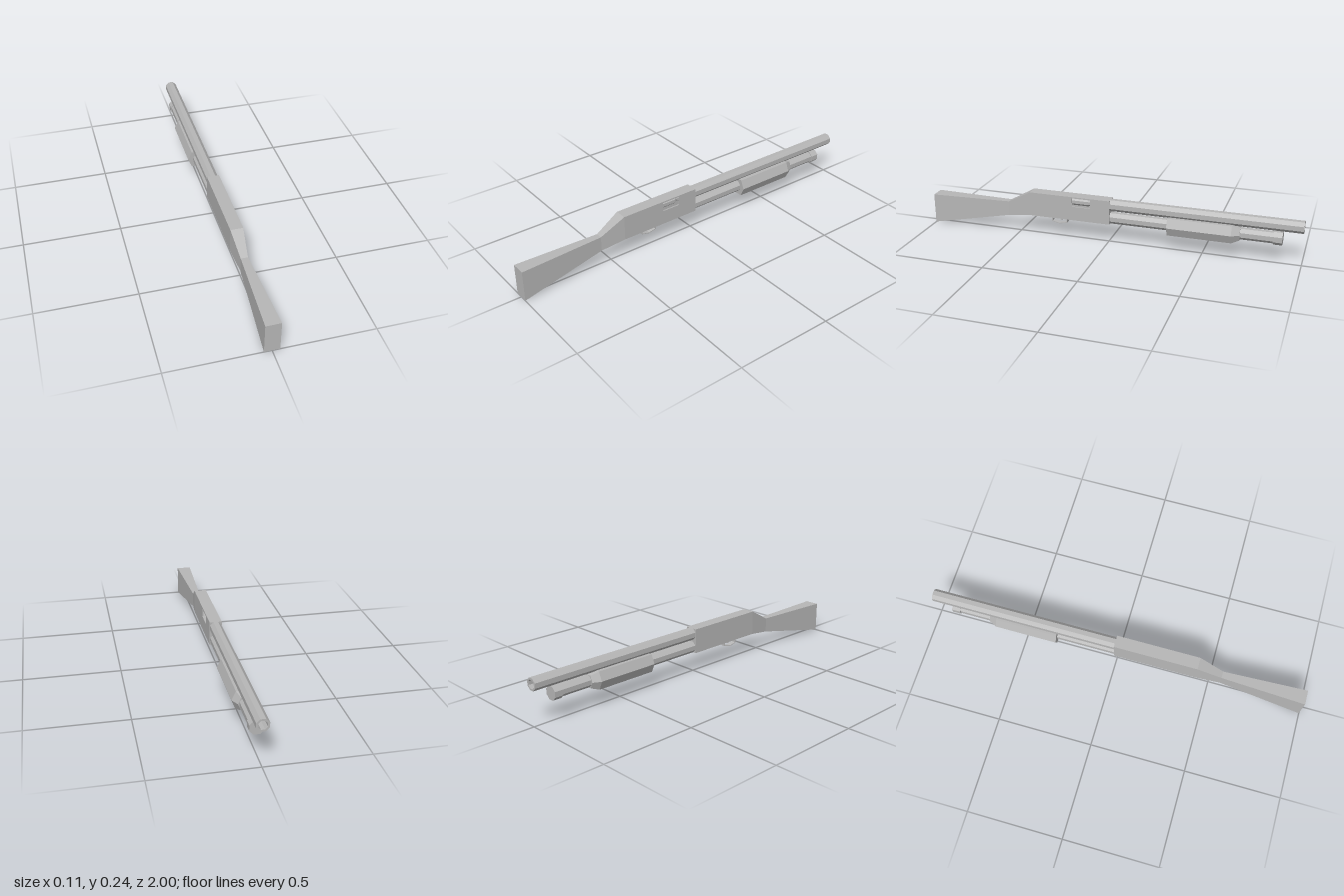
import * as THREE from 'three';

export function createModel() {
  const model = new THREE.Group();
  const grey = new THREE.MeshStandardMaterial({ color: 0xb6b6b6 });
  grey.name = 'grey';

  // Adds a faceted mesh
  function add(name, geometry) {
    const flat = geometry.index ? geometry.toNonIndexed() : geometry;
    flat.computeVertexNormals();
    const mesh = new THREE.Mesh(flat, grey);
    mesh.name = name;
    model.add(mesh);
  }

  // Box given by its limits on each axis
  function box(name, x0, x1, y0, y1, z0, z1) {
    const g = new THREE.BoxGeometry(x1 - x0, y1 - y0, z1 - z0);
    add(name, g.translate((x0 + x1) / 2, (y0 + y1) / 2, (z0 + z1) / 2));
  }

  // Closed skin over rings ordered from +z to -z, each counter-clockwise from the front
  function loft(name, rings) {
    const n = rings[0].length;
    const index = [];
    for (let i = 0; i < rings.length - 1; i++) {
      for (let j = 0; j < n; j++) {
        const a = i * n + j, b = i * n + (j + 1) % n;
        index.push(a, a + n, b, b, a + n, b + n);
      }
    }
    const last = (rings.length - 1) * n;
    for (let j = 1; j < n - 1; j++) {
      index.push(0, j, j + 1, last, last + j + 1, last + j);
    }
    const g = new THREE.BufferGeometry();
    g.setAttribute('position', new THREE.Float32BufferAttribute(rings.flat(2), 3));
    g.setIndex(index);
    add(name, g);
  }

  // Eight-sided turned part along -z; profile is [radius, z] pairs, flats on top and sides
  function turned(name, y, profile) {
    const k = 1 / Math.cos(Math.PI / 8);
    const points = profile.map(([r, z]) => new THREE.Vector2(r * k, -z));
    const g = new THREE.LatheGeometry(points, 8, Math.PI / 8);
    add(name, g.rotateX(-Math.PI / 2).translate(0, y, 0));
  }

  const toPoints = list => list.map(([a, b]) => new THREE.Vector2(a, b));
  function plate(outline, hole, depth) {
    const shape = new THREE.Shape(toPoints(outline));
    if (hole) shape.holes.push(new THREE.Path(toPoints(hole)));
    return new THREE.ExtrudeGeometry(shape, { depth, bevelEnabled: false });
  }
  const rect = (a0, a1, b0, b1) => [[a0, b0], [a1, b0], [a1, b1], [a0, b1]];

  // Stock: narrow wrist between the butt and the receiver
  const section = (z, w, y0, y1) => [[w, y0, z], [w, y1, z], [-w, y1, z], [-w, y0, z]];
  loft('stock', [
    section(1, 0.038, 0, 0.162),
    section(0.56, 0.018, 0.087, 0.165),
    section(0.43, 0.032, 0.107, 0.237),
  ]);

  // Receiver: hollow shell with a side port and a loading port below
  const wall = 0.006, w = 0.032, inner = w - wall, bottom = 0.107, top = 0.237, front = -0.01, back = 0.43;
  add('receiverRightWall', plate(rect(front, back, bottom, top), rect(0.095, 0.195, 0.183, 0.23), wall)
    .rotateY(-Math.PI / 2).translate(w, 0, 0));
  box('receiverLeftWall', -w, -inner, bottom, top, front, back);
  box('receiverTop', -inner, inner, top - wall, top, front, back);
  box('receiverFront', -inner, inner, bottom + wall, top - wall, front, front + wall);
  add('receiverFloor', plate(rect(-inner, inner, front, back), rect(-0.02, 0.02, 0.02, 0.19), wall)
    .rotateX(Math.PI / 2).translate(0, bottom + wall, 0));
  box('carrier', -0.014, 0.014, 0.122, 0.128, 0.03, 0.23);
  turned('bolt', 0.206, [[0, 0.28], [0.02, 0.28], [0.02, 0.11], [0.015, 0.1], [0.015, 0], [0, 0]]);

  // Barrel with an open bore
  turned('barrel', 0.207, [[0.03, 0], [0.03, -1], [0.021, -1], [0.021, -0.8], [0, -0.8]]);

  // Lower tube and its end cap
  turned('lowerTube', 0.136, [[0.029, 0], [0.029, -0.88]]);
  turned('tubeCap', 0.136, [[0, -0.855], [0.034, -0.855], [0.034, -0.9], [0, -0.9]]);

  // Sliding grip: six-sided sleeve tapering at its front end
  const hex = (z, mid, flat, h) => [
    [mid, 0], [flat, h], [-flat, h], [-mid, 0], [-flat, -h], [flat, -h],
  ].map(([x, y]) => [x, 0.136 + y, z]);
  loft('slideGrip', [
    hex(-0.32, 0.057, 0.037, 0.046),
    hex(-0.65, 0.057, 0.037, 0.046),
    hex(-0.69, 0.036, 0.022, 0.032),
  ]);

  // Trigger guard loop and trigger
  add('triggerGuard', plate(
    [[0.23, 0.109], [0.23, 0.08], [0.273, 0.07], [0.316, 0.08], [0.316, 0.109]],
    [[0.234, 0.108], [0.234, 0.083], [0.273, 0.074], [0.312, 0.083], [0.312, 0.108]],
    0.024).rotateY(-Math.PI / 2).translate(0.012, 0, 0));
  add('trigger', plate([[0.265, 0.109], [0.262, 0.088], [0.268, 0.088], [0.28, 0.109]], null, 0.008)
    .rotateY(-Math.PI / 2).translate(0.004, 0, 0));

  return model;
}
